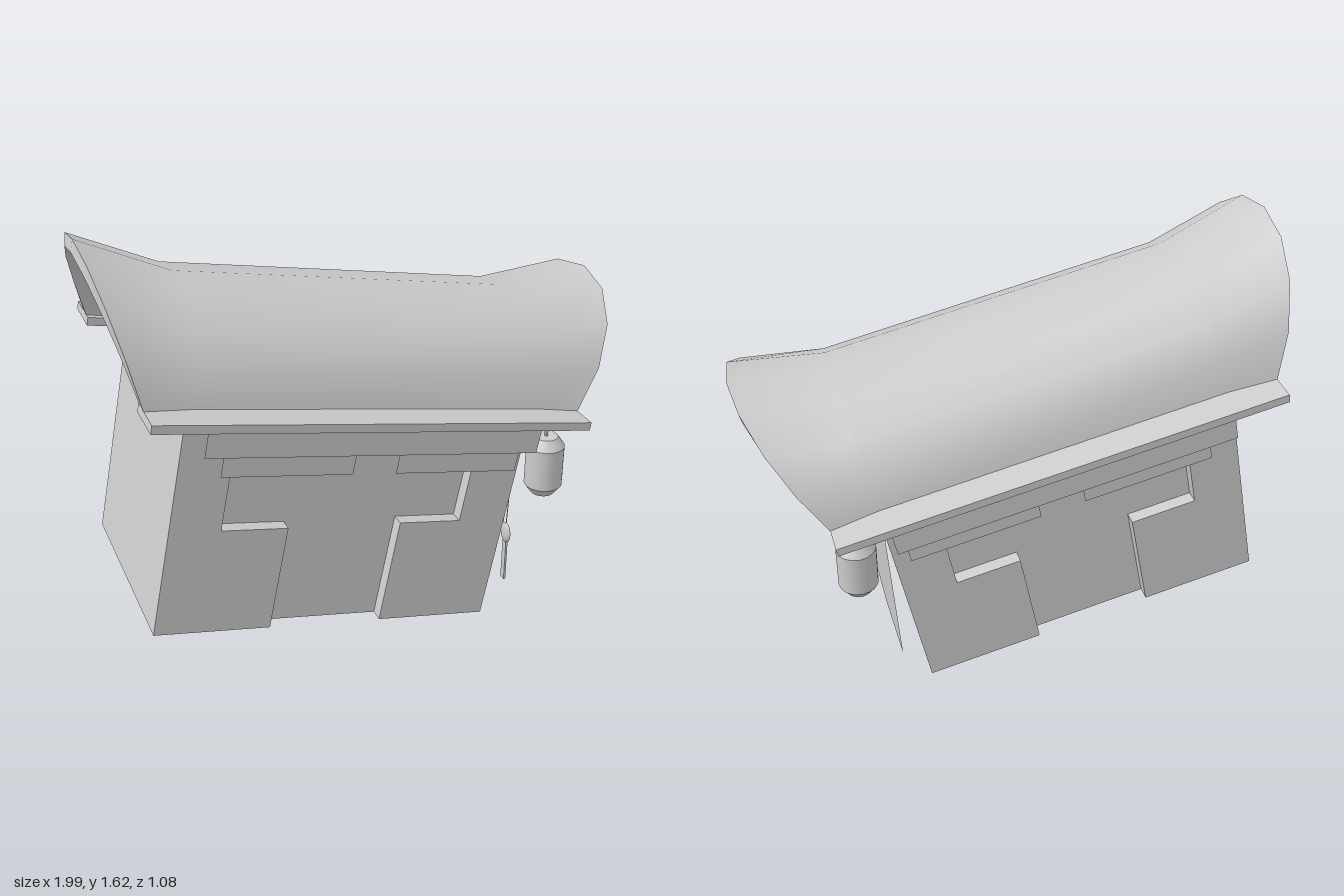
import * as THREE from 'three';

const grey = new THREE.MeshStandardMaterial({ color: 0xcccccc, side: THREE.DoubleSide });
grey.name = 'plain grey';

const MID = -0.268;   // middle of the hut along its length
const EAVE = 0.978;   // height where the roof starts

function add(parent, name, geometry) {
  const mesh = new THREE.Mesh(geometry, grey);
  mesh.name = name;
  parent.add(mesh);
  return mesh;
}

// Box from its minimum and maximum corners
function box(parent, name, x0, x1, y0, y1, z0, z1) {
  const g = new THREE.BoxGeometry(x1 - x0, y1 - y0, z1 - z0);
  g.translate((x0 + x1) / 2, (y0 + y1) / 2, (z0 + z1) / 2);
  return add(parent, name, g);
}

function makeShape(points) {
  return new THREE.Shape(points.map(([x, y]) => new THREE.Vector2(x, y)));
}

function extrude(points, depth) {
  return new THREE.ExtrudeGeometry(makeShape(points), { depth, bevelEnabled: false });
}

// Crosswise slab drawn as [z, height] points, placed between two lengthwise positions
function crossSlab(parent, name, points, x0, x1) {
  const g = extrude(points.map(([z, y]) => [-z, y]), x1 - x0);
  g.rotateY(Math.PI / 2);
  g.translate(x0, 0, 0);
  return add(parent, name, g);
}

// Smooth surface through rows of points
function surface(rows) {
  const cols = rows[0].length, index = [];
  for (let i = 0; i < rows.length - 1; i++) {
    for (let j = 0; j < cols - 1; j++) {
      const a = i * cols + j, b = a + cols;
      index.push(a, b, b + 1, a, b + 1, a + 1);
    }
  }
  const g = new THREE.BufferGeometry();
  g.setAttribute('position', new THREE.Float32BufferAttribute(rows.flat(2), 3));
  g.setIndex(index);
  g.computeVertexNormals();
  return g;
}

// Half-ellipse arch row; lean pushes its crown outward along the length
function arch(x, lean, halfWidth, height) {
  return Array.from({ length: 9 }, (_, j) => {
    const t = Math.PI * j / 8;
    return [x + lean * Math.sin(t), EAVE + height * Math.sin(t), halfWidth * Math.cos(t)];
  });
}

function buildRoof(parent) {
  const roof = new THREE.Group();
  roof.name = 'roof';
  parent.add(roof);
  const sections = [[-0.83, -0.18, 0.438, 0.424], [-0.655, 0, 0.42, 0.33],
    [0.655, 0, 0.42, 0.33], [0.83, 0.18, 0.438, 0.424]];
  const outer = sections.map(([x, l, w, h]) => arch(MID + x, l, w, h));
  const inner = sections.map(([x, l, w, h]) => arch(MID + x, l, w - 0.04, h - 0.047));
  add(roof, 'roofOuter', surface(outer));
  add(roof, 'roofInner', surface(inner.map(row => [...row].reverse())));
  add(roof, 'roofEndRight', surface([inner[0], outer[0]]));
  add(roof, 'roofEndLeft', surface([outer[3], inner[3]]));
}

// Everything on one long side: wall, stepped plates, valances and eave
function buildSide(parent, s) {
  const side = new THREE.Group();
  side.name = s > 0 ? 'frontSide' : 'backSide';
  parent.add(side);

  // Recessed wall, tapering in thickness toward the open end
  const plan = [[-0.92, 0.315], [-0.05, 0.315], [0.391, 0.339], [0.391, 0.345], [-0.92, 0.345]];
  const wall = extrude(plan.map(([x, z]) => [x, -s * z]), 0.867);
  wall.rotateX(-Math.PI / 2);
  wall.translate(0, 0.083, 0);
  add(side, 'recessedWall', wall);

  const plates = [
    [[-0.94, 0.082], [-0.498, 0.082], [-0.498, 0.5], [-0.75, 0.5], [-0.75, 0.95], [-0.94, 0.95]],
    [[-0.053, 0.082], [0.391, 0.082], [0.391, 0.95], [0.196, 0.95], [0.196, 0.503], [-0.053, 0.503]],
  ];
  for (const points of plates) {
    const g = extrude(points, 0.055);
    g.translate(0, 0, s > 0 ? 0.34 : -0.395);
    add(side, 'steppedPlate', g);
  }

  // Thin valances hanging under the eave
  const valances = [['fascia', -0.9, 0.369, 0.85, 0.52],
    ['hangingBoard', -0.813, -0.325, 0.75, 0.467], ['hangingBoard', -0.157, 0.332, 0.75, 0.467]];
  for (const [name, x0, x1, y0, z] of valances) {
    const sheet = add(side, name, new THREE.PlaneGeometry(x1 - x0, 0.95 - y0));
    sheet.position.set((x0 + x1) / 2, (y0 + 0.95) / 2, s * z);
    if (s < 0) sheet.rotation.y = Math.PI;
  }
  box(side, 'eave', MID - 0.83, MID + 0.83, 0.948, 0.98,
    Math.min(s * 0.37, s * 0.538), Math.max(s * 0.37, s * 0.538));
}

function buildEnds(parent) {
  const crown = Array.from({ length: 9 }, (_, j) => {
    const t = Math.PI * j / 8;
    return [0.385 * Math.cos(t), EAVE + 0.285 * Math.sin(t)];
  });
  // Solid end wall
  crossSlab(parent, 'endWall', [...crown, [-0.385, 0.082], [0.385, 0.082]], -0.94, -0.89);
  // Gable and beam over the open end
  crossSlab(parent, 'gable', [...crown, [-0.34, 0.9], [0.34, 0.9]], 0.345, 0.38);
  box(parent, 'beam', 0.345, 0.388, 0.868, 0.902, -0.34, 0.34);
  // Rafter ends
  for (const z of [-0.23, 0.238]) {
    box(parent, 'rafterEnd', 0.37, 0.46, 0.915, 0.948, z - 0.023, z + 0.023);
    box(parent, 'rafterEnd', -0.95, -0.9, 0.905, 0.94, z - 0.023, z + 0.023);
  }
}

// Torn sheet hanging in front of the open end, drawn as [z, height]
function buildCurtain(parent) {
  const outline = [[0.337, 0.8], [0.337, 0.335], [0.2, 0.26], [0.18, 0.12],
    [0, 0.05], [-0.32, 0.07], [-0.33, 0.8]];
  const g = new THREE.ShapeGeometry(makeShape(outline.map(([z, y]) => [-z, y])));
  g.rotateY(Math.PI / 2);
  const curtain = add(parent, 'tornCurtain', g);
  curtain.position.x = 0.49;
  curtain.rotation.z = -0.069;
}

function buildLantern(parent, z) {
  const lantern = new THREE.Group();
  lantern.name = 'lantern';
  lantern.position.set(0.65, 0, z);
  parent.add(lantern);
  const profile = [[0, 0.497], [0.045, 0.497], [0.073, 0.535], [0.073, 0.7], [0.045, 0.738], [0, 0.738]];
  // Each band is turned separately to keep the rims sharp
  for (let i = 0; i < profile.length - 1; i++) {
    const band = [profile[i], profile[i + 1]].map(p => new THREE.Vector2(...p));
    add(lantern, 'lanternBody', new THREE.LatheGeometry(band, 16));
  }
  box(lantern, 'lanternCord', -0.005, 0.005, 0.735, 0.85, -0.005, 0.005);
}

// Hanging charm: cord, bead and paper strip
function buildCharm(parent) {
  const charm = new THREE.Group();
  charm.name = 'charm';
  charm.position.set(0.5, 0, 0.382);
  parent.add(charm);
  const bead = new THREE.SphereGeometry(1, 10, 8);
  bead.scale(0.012, 0.042, 0.034);
  bead.translate(0, 0.345, 0);
  add(charm, 'bead', bead);
  box(charm, 'paperStrip', -0.004, 0.004, 0.135, 0.32, -0.013, 0.013);
  const path = new THREE.LineCurve3(new THREE.Vector3(0, 0.38, 0), new THREE.Vector3(0.02, 0.86, 0));
  add(charm, 'cord', new THREE.TubeGeometry(path, 1, 0.002, 4));
}

export function createModel() {
  const model = new THREE.Group();
  model.name = 'tiltedHut';

  const hut = new THREE.Group();
  hut.name = 'hut';
  hut.rotation.z = -0.195;
  model.add(hut);
  buildRoof(hut);
  for (const s of [1, -1]) buildSide(hut, s);
  buildEnds(hut);

  // Hanging pieces stay close to plumb
  buildCurtain(model);
  buildLantern(model, 0.38);
  buildLantern(model, -0.37);
  buildCharm(model);
  return model;
}
